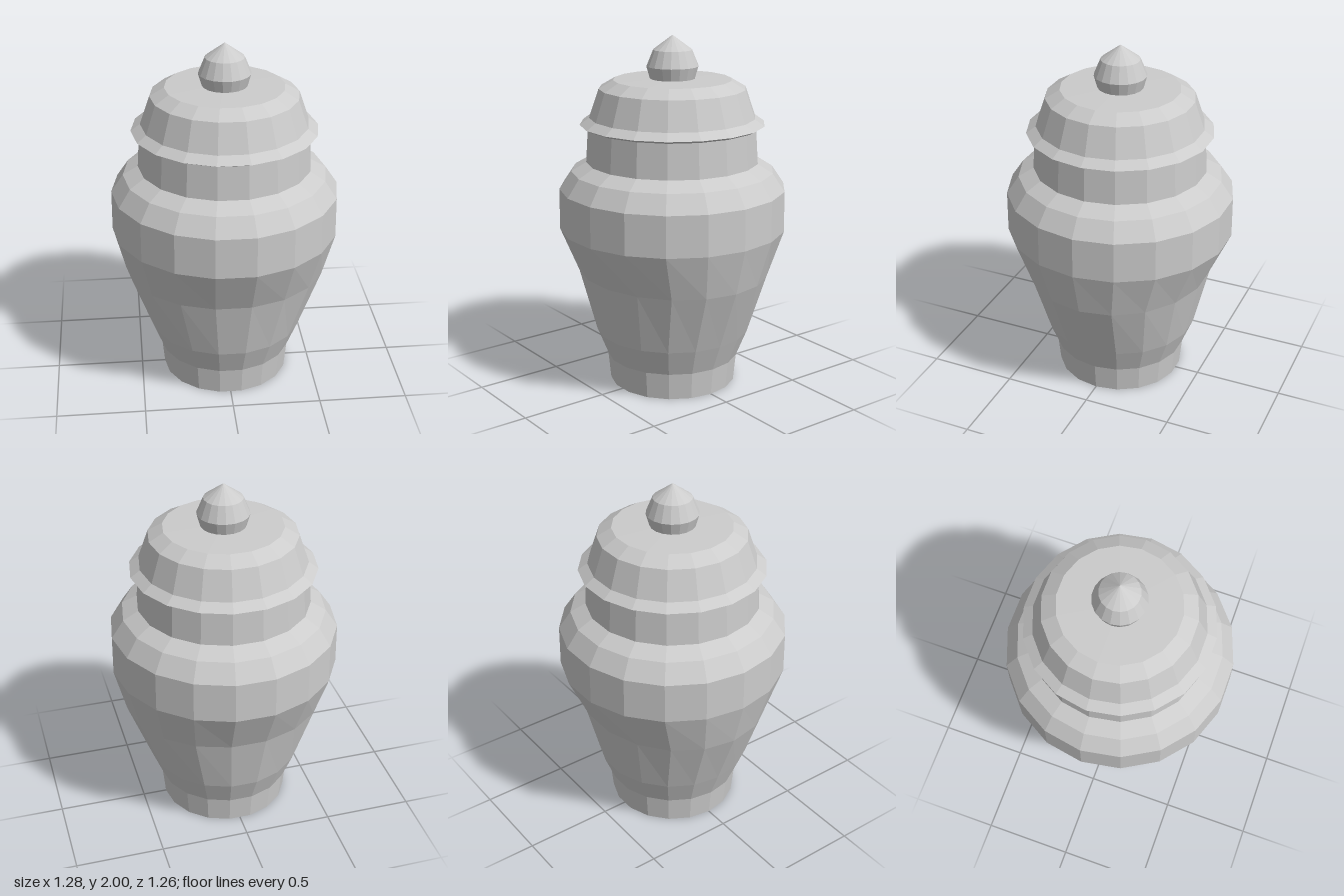
import * as THREE from 'three';

const SIDES = 18;
const material = new THREE.MeshStandardMaterial({ color: 0xcccccc, flatShading: true });

// Faceted solid of revolution from [radius, height] points, with a corner on the x axis
function turned(name, profile) {
  const points = profile.map(([r, y]) => new THREE.Vector2(r, y));
  const geometry = new THREE.LatheGeometry(points, SIDES, Math.PI / 2);
  const mesh = new THREE.Mesh(geometry, material);
  mesh.name = name;
  return mesh;
}

export function createModel() {
  const jar = new THREE.Group();
  jar.name = 'lidded jar';

  // Foot, tapering belly, shoulder and neck
  const waistY = 0.66;
  const body = turned('body', [
    [0, 0], [0.363, 0], [0.378, 0.155], [0.44, 0.31], [0.573, waistY],
    [0.64, 0.92], [0.638, 1.15], [0.57, 1.25], [0.485, 1.3], [0.472, 1.5], [0, 1.5],
  ]);
  // The waist ring is slightly flattened from front to back
  const position = body.geometry.attributes.position;
  for (let i = 0; i < position.count; i++) {
    if (Math.abs(position.getY(i) - waistY) < 0.01) position.setZ(i, position.getZ(i) * 0.91);
  }
  body.geometry.computeVertexNormals();
  jar.add(body);

  // Domed lid with a flared rim
  jar.add(turned('lid', [
    [0.44, 1.498], [0.49, 1.498], [0.518, 1.512], [0.465, 1.55],
    [0.41, 1.71], [0.33, 1.757], [0, 1.765],
  ]));

  // Pointed knob
  jar.add(turned('knob', [
    [0.125, 1.76], [0.145, 1.83], [0.108, 1.92], [0, 2],
  ]));

  return jar;
}
